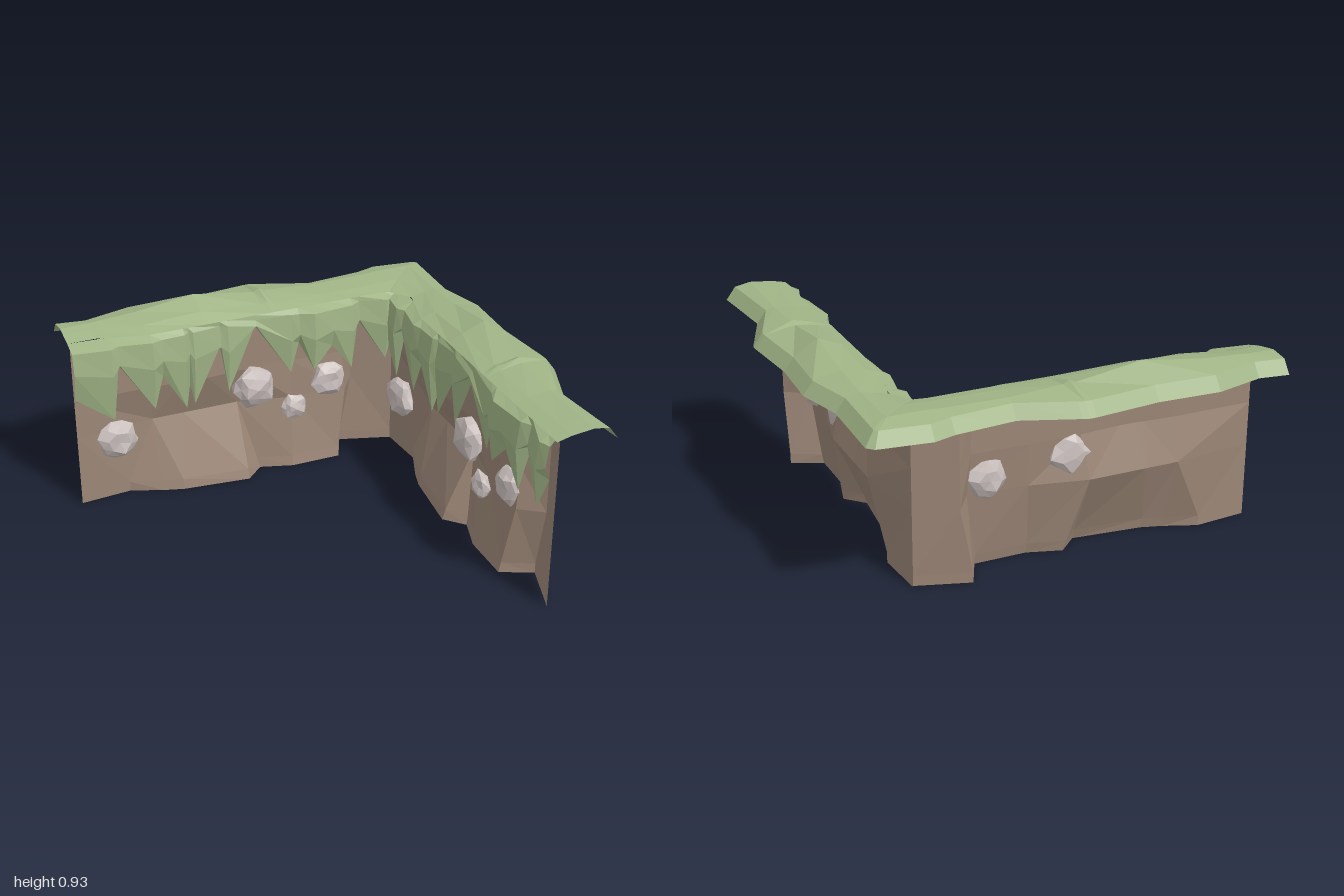
import * as THREE from 'three';

const mat = (color) => new THREE.MeshStandardMaterial({ color, flatShading: true, side: THREE.DoubleSide });
const earth = mat(0x9b8676), grass = mat(0xa0b486), stone = mat(0xcac0be);

// Faceted sheet through a list of columns of [x, y, z] points
function sheet(name, columns, material) {
  const pos = [];
  for (let i = 0; i + 1 < columns.length; i++) {
    const a = columns[i], b = columns[i + 1];
    for (let j = 0; j + 1 < a.length; j++) {
      pos.push(...a[j], ...b[j + 1], ...b[j], ...a[j], ...a[j + 1], ...b[j + 1]);
    }
  }
  const geo = new THREE.BufferGeometry();
  geo.setAttribute('position', new THREE.Float32BufferAttribute(pos, 3));
  geo.computeVertexNormals();
  const mesh = new THREE.Mesh(geo, material);
  mesh.name = name;
  return mesh;
}

// Earth wall: each column gives x and z at five heights; the middle leans into a sloping apron
function makeWall() {
  const heights = [0.83, 0.56, 0.36, 0.05, 0];
  const columns = [
    [[-1, -1, -1, -1, -1], [-0.65, -0.65, -0.65, -0.65, -0.65]],
    [[-0.61, -0.61, -0.61, -0.75, -0.75], [-0.65, -0.65, -0.7, -0.67, -0.67]],
    [[-0.46, -0.46, -0.61, -0.6, -0.6], [-0.64, -0.64, -0.7, -0.62, -0.61]],
    [[-0.42, -0.42, -0.45, -0.5, -0.5], [-0.64, -0.635, -0.7, -0.59, -0.58]],
    [[-0.34, -0.34, -0.17, -0.17, -0.17], [-0.64, -0.635, -0.7, -0.56, -0.545]],
    [[-0.15, -0.15, -0.17, -0.09, -0.08], [-0.65, -0.65, -0.7, -0.64, -0.63]],
    [[0.1, 0.1, 0.1, 0.08, 0.08], [-0.65, -0.65, -0.64, -0.59, -0.58]],
    [[0.36, 0.37, 0.38, 0.33, 0.33], [-0.64, -0.64, -0.62, -0.59, -0.58]],
    [[0.46, 0.46, 0.46, 0.4, 0.4], [-0.73, -0.73, -0.73, -0.73, -0.73]],
    [[0.65, 0.65, 0.65, 0.65, 0.65], [-0.65, -0.65, -0.65, -0.65, -0.65]],
  ].map(([x, z]) => heights.map((y, i) => [x[i], y, z[i]]));
  return sheet('earthWall', columns, earth);
}

// Front edge of the turf, set further back near the open end
const edgeZ = (x) => -0.63 - 0.06 * THREE.MathUtils.clamp((-0.65 - x) / 0.2, 0, 1);

// Hanging grass: alternating valleys and tips along the wall, [x, lower y, bulge z]
function makeFringe() {
  const edge = [
    [-1, 0.58, -0.6], [-0.82, 0.45, -0.575], [-0.78, 0.72, -0.6], [-0.62, 0.47, -0.57], [-0.57, 0.63, -0.585],
    [-0.455, 0.43, -0.59], [-0.43, 0.54, -0.61], [-0.41, 0.44, -0.6], [-0.27, 0.71, -0.615],
    [-0.235, 0.47, -0.6], [-0.09, 0.79, -0.61], [0.09, 0.51, -0.595], [0.13, 0.67, -0.59],
    [0.2, 0.52, -0.56], [0.3, 0.63, -0.57], [0.41, 0.48, -0.58], [0.455, 0.72, -0.61],
    [0.59, 0.5, -0.57], [0.645, 0.66, -0.59],
  ];
  const columns = edge.map(([x, low, bulge], i) => {
    const tip = i % 2 === 1;
    return [
      [x, 0.848, edgeZ(x)],
      [x, 0.825, bulge - 0.015],
      [x, tip ? 0.69 : Math.max(low + 0.01, 0.72), bulge],
      [x, low, bulge - 0.025],
    ];
  });
  return sheet('hangingGrass', columns, grass);
}

// Stones bedded in the wall: [x, y, z, radius, turn]
function makeStones() {
  const group = new THREE.Group();
  group.name = 'stones';
  [[-0.81, 0.335, -0.618, 0.105, 0.3], [-0.1, 0.47, -0.63, 0.115, 1.2],
    [0.095, 0.33, -0.595, 0.072, 2], [0.29, 0.43, -0.63, 0.095, 2.7]].forEach(([x, y, z, r, turn]) => {
    const geo = new THREE.IcosahedronGeometry(1, 1);
    const p = geo.attributes.position, v = new THREE.Vector3();
    for (let i = 0; i < p.count; i++) {
      v.fromBufferAttribute(p, i);
      const k = r * (0.93 + 0.18 * Math.sin(v.x * 4 + turn * 5) * Math.cos(v.y * 5 + v.z * 3));
      p.setXYZ(i, v.x * k, v.y * k, v.z * k * 0.55);
    }
    geo.computeVertexNormals();
    const mesh = new THREE.Mesh(geo, stone);
    mesh.name = 'stone';
    mesh.position.set(x, y, z);
    mesh.rotation.z = turn;
    group.add(mesh);
  });
  return group;
}

// Turns a point on the back arm into the matching point on the side arm
const turnPoint = ([x, y, z]) => [-z, y, x + 0.34];

// Grass top: one strip running along the back arm, round the corner and down the side
function makeTurf() {
  const along = [
    [-1, 0.94, 0.872], [-0.86, 0.92, 0.875], [-0.63, 0.98, 0.89], [-0.34, 0.968, 0.93], [-0.03, 1, 0.885],
    [0, 1, 0.9], [0.03, 0.99, 0.885], [0.28, 0.895, 0.87], [0.56, 0.92, 0.875], [0.66, 0.93, 0.875],
  ].map(([x, out, top]) => [
    [x, 0.8, -out], [x, 0.86, -out + 0.045], [x, top, -0.81],
    [x, 0.862 + (top - 0.87) * 0.4, edgeZ(x) - 0.07], [x, 0.848, edgeZ(x)],
  ]);
  const corner = [
    [[0.66, 0.8, -0.95], [0.66, 0.86, -0.905], [0.66, 0.88, -0.81], [0.65, 0.868, -0.7], [0.62, 0.848, -0.62]],
    [[0.9, 0.8, -0.92], [0.87, 0.86, -0.88], [0.81, 0.88, -0.81], [0.7, 0.868, -0.7], [0.62, 0.848, -0.62]],
    [[0.93, 0.8, -0.89], [0.885, 0.86, -0.865], [0.81, 0.88, -0.8], [0.7, 0.868, -0.69], [0.62, 0.848, -0.61]],
  ];
  const side = along.slice(1).map((column) => column.map(turnPoint));
  return sheet('grassTop', [...along.slice(0, -1), ...corner, ...side], grass);
}

export function createModel() {
  const model = new THREE.Group();
  model.name = 'cliffCorner';
  // Two equal arms at a right angle
  ['backArm', 'sideArm'].forEach((name, i) => {
    const arm = new THREE.Group();
    arm.name = name;
    arm.add(makeWall(), makeFringe(), makeStones());
    arm.rotation.y = -i * Math.PI / 2;
    arm.position.z = i * 0.34;
    model.add(arm);
  });
  model.add(makeTurf());
  return model;
}
